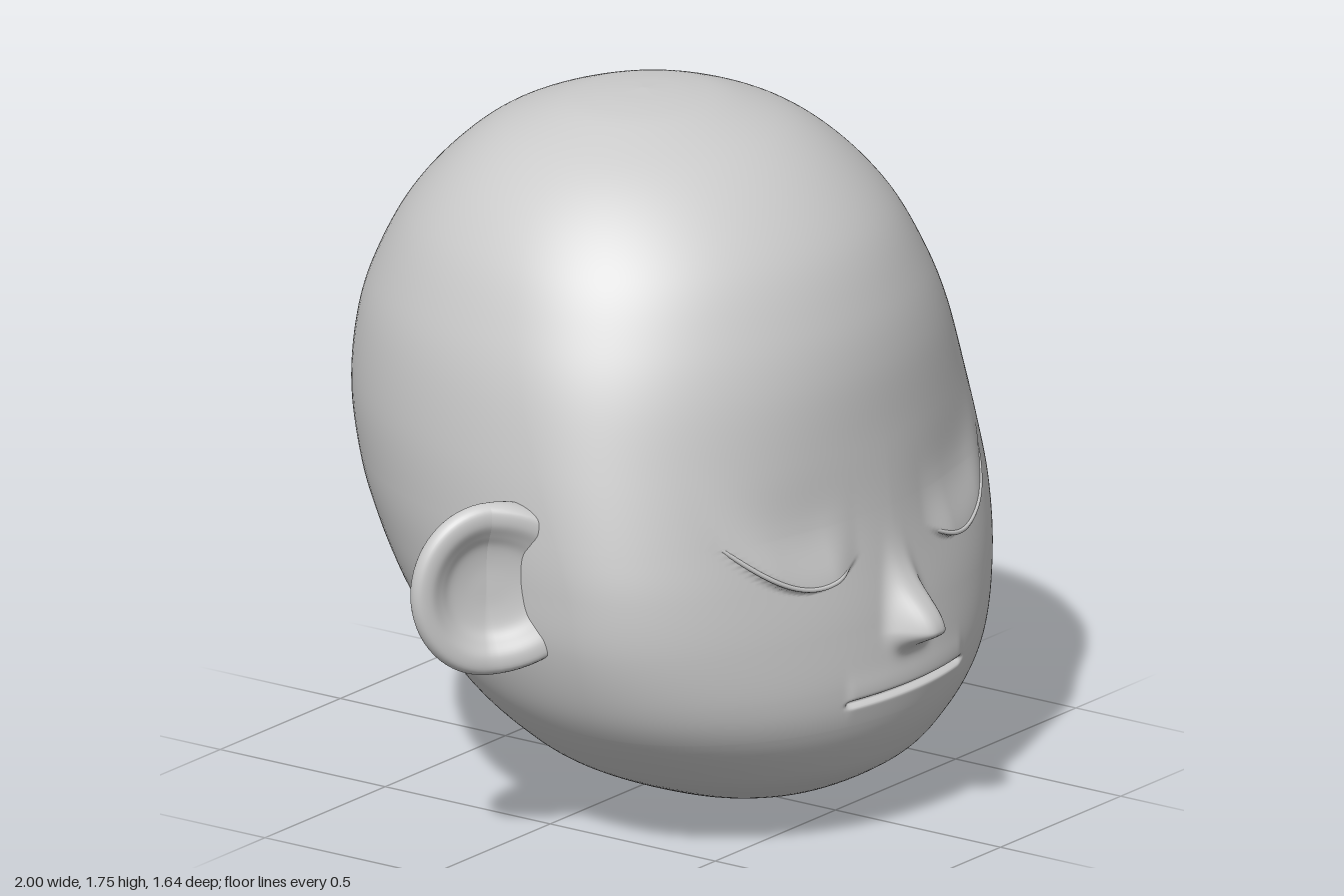
import * as THREE from 'three';

const material = new THREE.MeshStandardMaterial({ color: 0xcccccc });
const { smoothstep } = THREE.MathUtils;
const bell = (v, width) => Math.exp(-((v / width) ** 2));

// Head stations from chin to crown: height, half width, front z, back z, z of the widest point
const stations = [
  [0, 0, 0.19, 0.19, 0.19],
  [0.02, 0.13, 0.33, 0.05, 0.19],
  [0.06, 0.26, 0.48, -0.08, 0.2],
  [0.14, 0.45, 0.63, -0.26, 0.21],
  [0.22, 0.565, 0.695, -0.375, 0.23],
  [0.31, 0.655, 0.73, -0.48, 0.25],
  [0.41, 0.715, 0.735, -0.57, 0.26],
  [0.55, 0.76, 0.715, -0.67, 0.26],
  [0.69, 0.774, 0.69, -0.75, 0.25],
  [0.82, 0.773, 0.67, -0.797, 0.21],
  [0.99, 0.758, 0.65, -0.82, 0.14],
  [1.17, 0.725, 0.63, -0.797, 0.07],
  [1.31, 0.678, 0.592, -0.745, 0.02],
  [1.45, 0.608, 0.525, -0.665, -0.02],
  [1.57, 0.51, 0.42, -0.56, -0.05],
  [1.66, 0.39, 0.295, -0.445, -0.06],
  [1.72, 0.245, 0.145, -0.3, -0.07],
  [1.742, 0.13, 0.035, -0.19, -0.075],
  [1.75, 0, -0.08, -0.08, -0.08],
];
const last = stations.length - 1;
const spline = (pick) => new THREE.CatmullRomCurve3(
  stations.map((s) => new THREE.Vector3(...pick(s))), false, 'catmullrom', 0.5);
const widths = spline(([y, w, , , c]) => [w, y, c]);
const depths = spline(([y, , f, b]) => [f, y, b]);

function sectionAt(t) {
  const a = widths.getPoint(t), d = depths.getPoint(t);
  return { y: a.y, w: a.x, c: a.z, f: d.x, b: d.z };
}

// Closed lid line, as a height over the distance from the middle
const lidLine = (ax) => 0.68 + 2.4 * (ax - 0.29) ** 2;

// Forward relief of the face: nose, mouth slit, eye sockets and lids
function relief(x, y) {
  const ax = Math.abs(x), n = y - 0.52;
  const noseWidth = Math.max(0.04, 0.066 - 0.12 * Math.max(0, n));
  let z = 0.1 * bell(n, n > 0 ? 0.11 : 0.038) * Math.exp(-((ax / noseWidth) ** 3.2));
  const mouth = 1 - smoothstep(ax, 0.215, 0.245);
  z += mouth * (0.005 * bell(y - 0.39, 0.04) - 0.024 * bell(y - 0.37, 0.007));
  const d = y - lidLine(ax);
  const lid = smoothstep(ax, 0.13, 0.25) * (1 - smoothstep(ax, 0.4, 0.58));
  z += 0.022 * lid * (d > 0 ? bell(d, 0.11) : Math.max(0, 1 + d / 0.012));
  z -= 0.012 * Math.exp(-(((ax - 0.3) / 0.2) ** 2) - ((y - 0.8) / 0.14) ** 2);
  return z;
}

// Front surface depth at a given x and y
function faceZ(x, y) {
  let lo = 0, hi = 1;
  for (let i = 0; i < 30; i++) {
    const mid = (lo + hi) / 2;
    if (sectionAt(mid).y < y) lo = mid; else hi = mid;
  }
  const s = sectionAt(lo);
  return s.c + (s.f - s.c) * Math.sqrt(Math.max(0, 1 - (x / s.w) ** 2)) + relief(x, y);
}

// Head: rings of half ellipses, finer around the face
function headGeometry() {
  const columns = 220, rows = [];
  for (let i = 0; i < last; i++) {
    const steps = i >= 5 && i < 9 ? 30 : 7;
    for (let k = 0; k < steps; k++) rows.push((i + k / steps) / last);
  }
  rows.push(1);
  const positions = [], index = [];
  rows.forEach((t, i) => {
    const s = sectionAt(t);
    for (let j = 0; j < columns; j++) {
      const u = (j / columns) * Math.PI * 2;
      const angle = u - 0.6 * Math.sin(u);
      const x = s.w * Math.sin(angle), cos = Math.cos(angle);
      let z = s.c + cos * (cos > 0 ? s.f - s.c : s.c - s.b);
      if (cos > 0) z += relief(x, s.y) * smoothstep(cos, 0, 0.3);
      positions.push(x, s.y, z);
      if (i < rows.length - 1) {
        const a = i * columns + j, b = i * columns + ((j + 1) % columns);
        index.push(a, b, b + columns, a, b + columns, a + columns);
      }
    }
  });
  const geometry = new THREE.BufferGeometry();
  geometry.setAttribute('position', new THREE.Float32BufferAttribute(positions, 3));
  geometry.setIndex(index);
  geometry.computeVertexNormals();
  return geometry;
}

// Ear: a shallow bowl with a rolled rim, growing longer and thicker towards its root
function earGeometry(side) {
  const profile = new THREE.SplineCurve([
    [0, -0.035], [0.1, -0.042], [0.165, -0.036], [0.193, -0.012], [0.2, 0.015], [0.186, 0.036],
    [0.155, 0.038], [0.125, 0.022], [0.095, 0.005], [0.05, -0.003], [0, -0.004],
  ].map(([r, h]) => new THREE.Vector2(r, h))).getPoints(50);
  profile.forEach((p) => { p.x = Math.max(0, p.x); });
  const geometry = new THREE.LatheGeometry(profile, 64);
  const p = geometry.attributes.position;
  for (let i = 0; i < p.count; i++) {
    const root = Math.max(0, -p.getX(i));
    const face = 2 * smoothstep(i % profile.length, 14, 26) - 1;
    p.setXYZ(i, p.getX(i) - 0.3 * root, p.getY(i) + 0.3 * face * root, p.getZ(i) * 1.1);
  }
  geometry.computeVertexNormals();
  const frame = new THREE.Matrix4().makeBasis(
    new THREE.Vector3(0.82 * side, 0, -0.57),
    new THREE.Vector3(0.57 * side, 0, 0.82),
    new THREE.Vector3(0, -side, 0));
  frame.setPosition(0.825 * side, 0.703, 0.045);
  return geometry.applyMatrix4(frame);
}

// Lash: a thin cord along the lid line, sinking in at both ends
function lashGeometry(side) {
  const points = [];
  for (let i = 0; i <= 16; i++) {
    const t = i / 16, ax = 0.17 + 0.37 * t, y = lidLine(ax);
    const sink = 0.01 * Math.abs(2 * t - 1) ** 6;
    points.push(new THREE.Vector3(side * ax, y, faceZ(ax, y) - 0.001 - sink));
  }
  return new THREE.TubeGeometry(new THREE.CatmullRomCurve3(points), 48, 0.006, 8);
}

export function createModel() {
  const group = new THREE.Group();
  const add = (name, geometry) => {
    const mesh = new THREE.Mesh(geometry, material);
    mesh.name = name;
    group.add(mesh);
  };
  add('head', headGeometry());
  for (const [name, side] of [['left', 1], ['right', -1]]) {
    add(name + 'Ear', earGeometry(side));
    add(name + 'Eyelash', lashGeometry(side));
  }
  return group;
}
